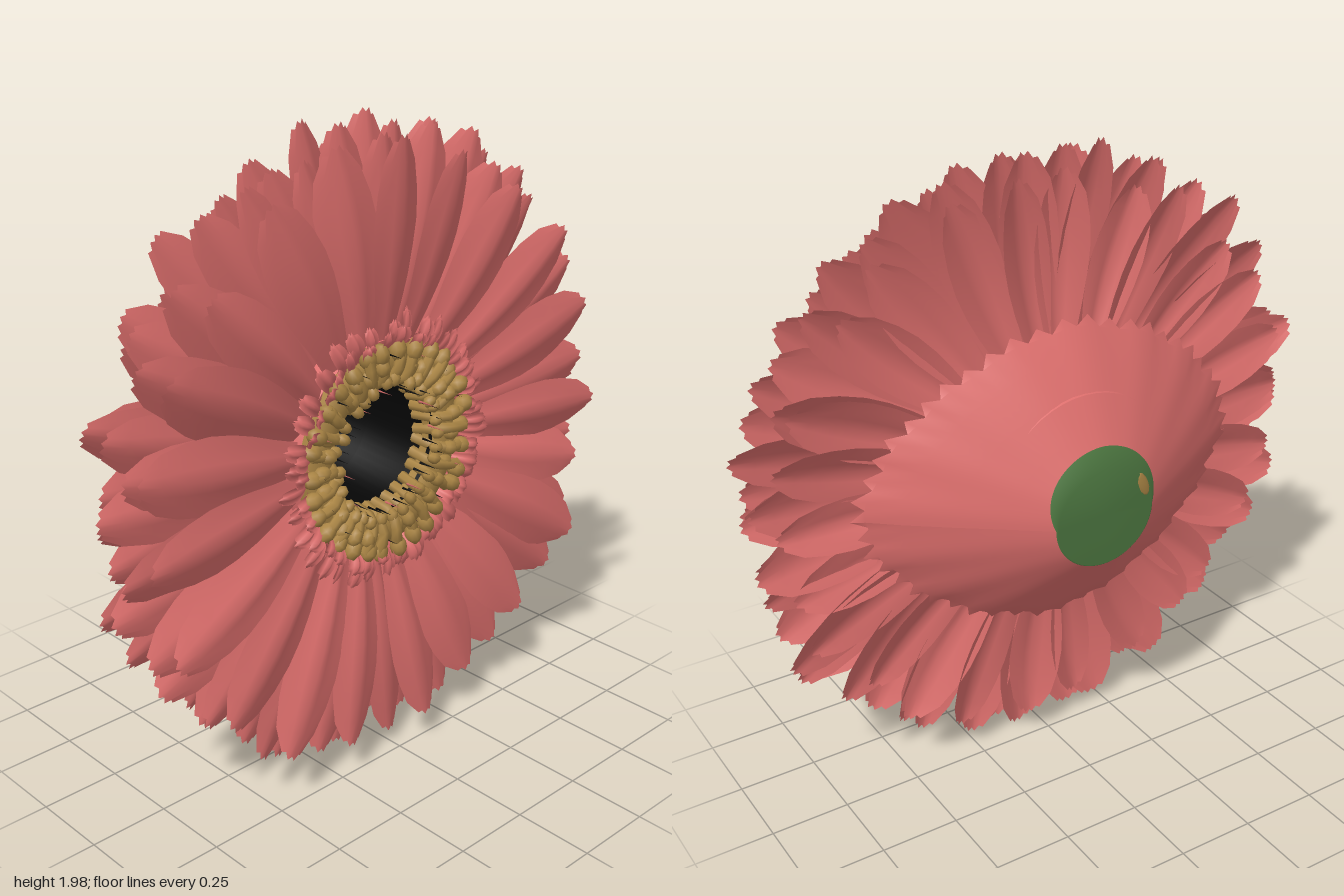
import * as THREE from 'three';
import { mergeGeometries } from 'three/addons/utils/BufferGeometryUtils.js';

let seed = 7;
const rnd = () => { seed = (seed * 16807) % 2147483647; return (seed / 2147483647) * 2 - 1; };
const mat = (name, color, side = THREE.DoubleSide) => {
  const m = new THREE.MeshStandardMaterial({ color, side });
  m.name = name;
  return m;
};

// Surface grid: fn(i, j) gives [x, y, z] for i in 0..rows, j in 0..cols
function grid(rows, cols, fn) {
  const pos = [], idx = [];
  for (let i = 0; i <= rows; i++) for (let j = 0; j <= cols; j++) pos.push(...fn(i, j));
  for (let i = 0; i < rows; i++) for (let j = 0; j < cols; j++) {
    const a = i * (cols + 1) + j, b = a + cols + 1;
    idx.push(a, b, a + 1, b, b + 1, a + 1);
  }
  const g = new THREE.BufferGeometry();
  g.setAttribute('position', new THREE.Float32BufferAttribute(pos, 3));
  g.setIndex(idx);
  g.computeVertexNormals();
  return g;
}

// Petal pointing along +x from r0 to r1, cupped, with a slightly toothed tip
const PROFILE = [0.34, 0.48, 0.64, 0.82, 0.95, 1, 0.93, 0.74, 0.36];
function petal(r0, r1, z0, z1, width, cup, roll) {
  const rows = PROFILE.length - 1, cols = 6;
  return grid(rows, cols, (i, j) => {
    const t = i / rows, u = (j / cols) * 2 - 1;
    const tooth = i === rows ? (j % 2 ? -0.014 : 0) - 0.02 * u * u : 0;
    const y = PROFILE[i] * width * u;
    const arch = Math.sin(t * Math.PI) * 0.025;
    const crease = 0.006 * Math.cos(u * Math.PI * 2) * Math.sin(t * Math.PI);
    return [r0 + (r1 - r0) * t + tooth, y, z0 + (z1 - z0) * t + arch - cup * u * u * PROFILE[i] + crease + y * roll];
  });
}

export function createModel() {
  const pink = mat('petal pink', 0xdc6e6c);
  const ochre = mat('pollen ochre', 0xa98444, THREE.FrontSide);
  const black = mat('dark centre', 0x060606);
  const green = mat('stem green', 0x4c7640);

  const flower = new THREE.Group();
  flower.name = 'flower';
  flower.position.y = 1;
  const add = (name, geo, material) => {
    const m = new THREE.Mesh(geo, material);
    m.name = name;
    flower.add(m);
    return m;
  };
  const lathe = (points) =>
    new THREE.LatheGeometry(points.map(([r, z]) => new THREE.Vector2(r, z)), 48).rotateX(Math.PI / 2);

  // Petal layers: count, inner radius, outer radius, inner z, tip z, half width, forward lean of the lower half
  const layers = [
    ['frontPetals', 21, 0.28, 0.93, 0.14, 0.22, 0.104, 0.045],
    ['secondPetals', 22, 0.28, 0.96, 0.115, 0.16, 0.1, 0.045],
    ['middlePetals', 22, 0.28, 0.985, 0.08, 0.095, 0.098, 0.015],
    ['lowerPetals', 23, 0.28, 0.98, 0.03, 0.03, 0.098, 0.02],
    ['backPetals', 26, 0.3, 0.91, -0.04, 0.0, 0.09, 0.015],
  ];
  layers.forEach(([name, n, r0, r1, z0, z1, w, lean], k) => {
    const parts = [];
    for (let i = 0; i < n; i++) {
      const a = ((i + k * 0.47) / n) * Math.PI * 2 + rnd() * 0.05;
      const tip = z1 - lean * Math.sin(a) + rnd() * 0.022;
      parts.push(petal(r0, r1 + rnd() * 0.03, z0, tip, w * (1 + rnd() * 0.1), 0.03, rnd() * 0.3).rotateZ(a));
    }
    add(name, mergeGeometries(parts), pink);
  });

  // Receptacle wall that the petals grow from
  add('receptacle', lathe([[0.3, -0.2], [0.35, -0.06], [0.355, 0.1], [0.335, 0.155]]), pink);

  // Two rows of short pointed ray florets around the centre
  const rays = [];
  for (let i = 0; i < 68; i++) {
    const a = (i / 68) * Math.PI * 2 + rnd() * 0.03, outer = i % 2;
    rays.push(petal(0.3, (outer ? 0.43 : 0.385) + rnd() * 0.02, 0.155, (outer ? 0.185 : 0.205) + rnd() * 0.01,
      0.027, 0.01, rnd() * 0.4).rotateZ(a));
  }
  add('rayFlorets', mergeGeometries(rays), pink);

  // Pollen ring: a bed with lumpy bent florets on it
  const bed = new THREE.TorusGeometry(0.265, 0.065, 8, 48).scale(1, 1, 0.8).translate(0, 0, 0.135);
  add('pollenBed', bed, ochre);
  const lumps = [];
  for (let i = 0; i < 30; i++) {
    const a = (i / 30) * Math.PI * 2;
    const curve = new THREE.CatmullRomCurve3([[0.2, 0.1], [0.22, 0.175], [0.27, 0.195], [0.32, 0.19]]
      .map(([r, z]) => new THREE.Vector3(r, rnd() * 0.008, z + rnd() * 0.006)));
    lumps.push(new THREE.TubeGeometry(curve, 6, 0.018, 6).rotateZ(a));
    for (const [r, s] of [[0.316, 0.029], [0.265, 0.025], [0.215, 0.02]]) {
      lumps.push(new THREE.SphereGeometry(s, 7, 5).scale(1.25, 0.9, 1)
        .translate(r + rnd() * 0.012, rnd() * 0.012, 0.188 + rnd() * 0.008).rotateZ(a));
    }
  }
  add('pollenFlorets', mergeGeometries(lumps), ochre);

  // Deep dark well in the middle
  add('darkCentre', lathe([[0, -0.28], [0.14, -0.28], [0.19, -0.1], [0.203, 0.1], [0.21, 0.165]]), black);

  // Fine dark and pink filaments
  const spikes = [[], []];
  for (let i = 0; i < 48; i++) {
    const r = i % 3 ? 0.195 : 0.29;
    spikes[i % 4 === 1 ? 1 : 0].push(new THREE.ConeGeometry(0.004, 0.07, 4).rotateX(Math.PI / 2)
      .translate(r + rnd() * 0.012, 0, 0.19 + rnd() * 0.012).rotateZ((i / 48) * Math.PI * 2));
  }
  add('darkFilaments', mergeGeometries(spikes[0]), black);
  add('pinkFilaments', mergeGeometries(spikes[1]), pink);

  // Stray sliver at the bottom of the well, with its ochre end showing behind
  const sliver = add('sliver', new THREE.SphereGeometry(1, 8, 6).scale(0.075, 0.015, 0.01), pink);
  sliver.position.set(-0.045, 0.03, -0.272);
  sliver.rotation.z = 0.8;
  const sliverEnd = add('sliverEnd', new THREE.SphereGeometry(1, 8, 6).scale(0.045, 0.018, 0.006), ochre);
  sliverEnd.position.set(-0.135, 0.02, -0.311);
  sliverEnd.rotation.z = 1.2;

  // Calyx: a cone widening to a jagged rim that is broader than it is tall
  const N = 96;
  const ringPoint = (s, j) => {
    const a = (j / N) * Math.PI * 2, c = Math.cos(a), n = Math.sin(a);
    const k = Math.pow(Math.pow(Math.abs(c), 1.7) + Math.pow(Math.abs(n), 1.7), -1 / 1.7);
    const jag = s === 1 ? (j % 2 ? 0.95 : 1.02) : 1;
    const fold = 1 + 0.012 * Math.sin(a * 16) * s;
    const bulge = 0.02 * Math.sin(s * Math.PI);
    const x = 0.165 * c * (1 - s) + (0.67 * k * c * jag * fold + bulge * c) * s;
    const y = (-0.05 + 0.155 * n) * (1 - s) + (0.485 * k * n * jag * fold + bulge * n) * s;
    return [x, y, -0.31 + s * (0.235 + 0.055 * c * c) + (s === 1 && j % 2 ? -0.01 : 0)];
  };
  const steps = [0, 0.25, 0.5, 0.75, 0.94, 1];
  add('calyx', grid(5, N, (i, j) => ringPoint(steps[i], j)), pink);

  // Green cut end of the stem, wrapping a little over the upper edge
  add('stemEnd', grid(2, N, (i, j) => {
    if (i === 0) return [0, -0.05, -0.312];
    const [x, y, z] = ringPoint(i === 1 ? 0 : 0.01 + 0.14 * Math.max(0, Math.sin((j / N) * Math.PI * 2)), j);
    return [x * 1.005, y + (y + 0.05) * 0.005, z - 0.003];
  }), green);

  const model = new THREE.Group();
  model.name = 'daisy';
  model.add(flower);
  return model;
}
